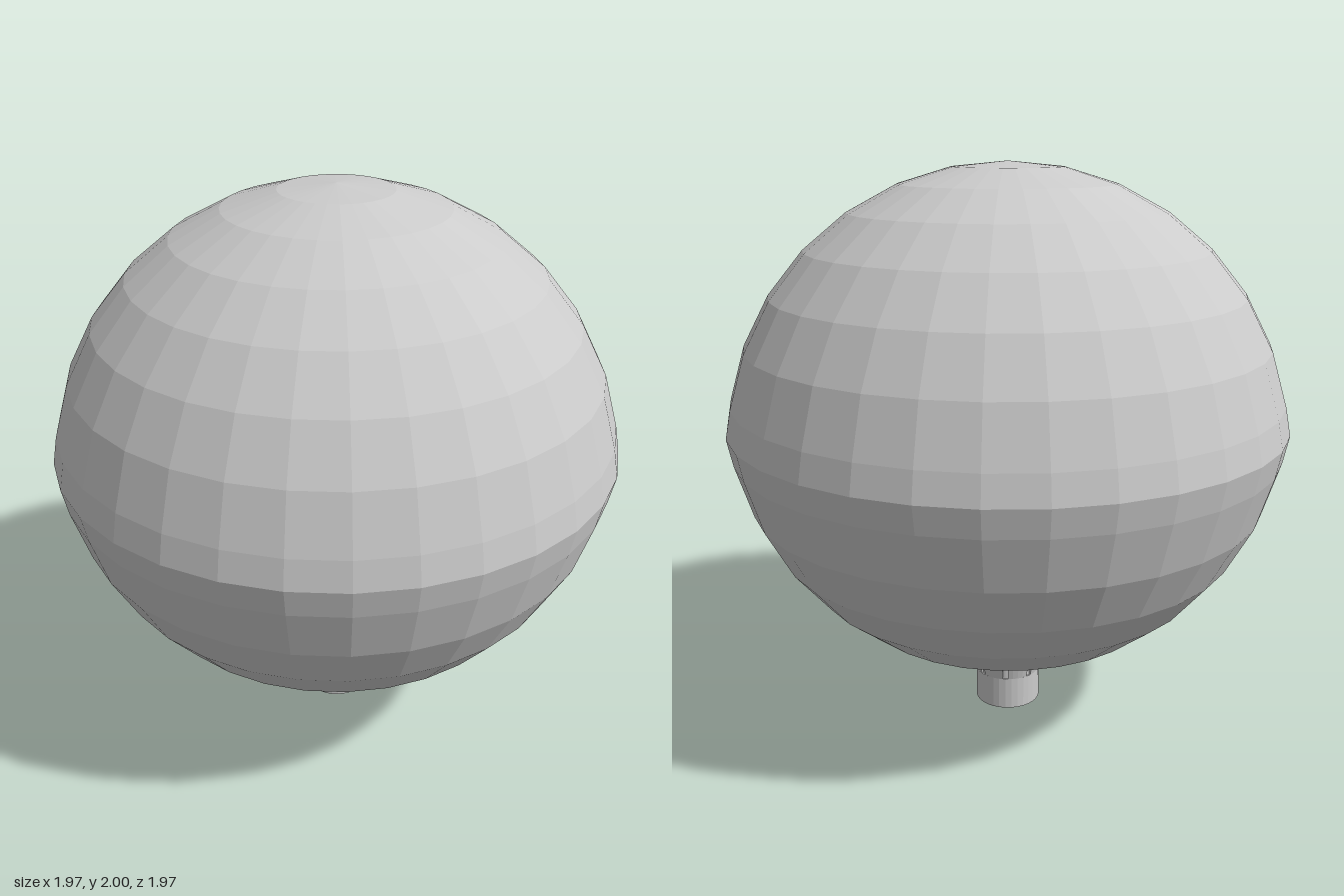
import * as THREE from 'three';

const material = new THREE.MeshStandardMaterial({ color: 0xcccccc, flatShading: true });

function addMesh(parent, name, geometry) {
  const mesh = new THREE.Mesh(geometry, material);
  mesh.name = name;
  parent.add(mesh);
  return mesh;
}

// Globe profile: two round halves pushed together, meeting in a ridge at the middle
function globeProfile() {
  const R = 0.985, middle = 1.111, squash = 0.096, rings = 16;
  const points = [];
  for (let i = 0; i <= rings; i++) {
    const a = (i / rings) * Math.PI;
    const h = -R * Math.cos(a);
    const y = i === rings / 2 ? middle : middle + h - Math.sign(h) * squash;
    const r = i === 0 || i === rings ? 0 : R * Math.sin(a);
    points.push(new THREE.Vector2(r, y));
  }
  return points;
}

// One flared prong: a box bent around the stem, leaning out towards its top
function prongGeometry() {
  const geometry = new THREE.BoxGeometry(1, 1, 1, 4, 1, 1);
  const p = geometry.attributes.position;
  const spread = THREE.MathUtils.degToRad(36);
  for (let i = 0; i < p.count; i++) {
    const angle = p.getX(i) * spread;
    const t = p.getY(i) + 0.5;
    const r = p.getZ(i) > 0 ? 0.12 + 0.025 * t : 0.1;
    p.setXYZ(i, r * Math.sin(angle), 0.12 + 0.12 * t, r * Math.cos(angle));
  }
  geometry.computeVertexNormals();
  return geometry;
}

export function createModel() {
  const model = new THREE.Group();
  model.name = 'globeOnStem';

  addMesh(model, 'globe', new THREE.LatheGeometry(globeProfile(), 32));

  // Stem: wide foot with a slightly thinner core rising into the globe
  const foot = addMesh(model, 'stemFoot', new THREE.CylinderGeometry(0.12, 0.12, 0.12, 32));
  foot.position.y = 0.06;
  const core = addMesh(model, 'stemCore', new THREE.CylinderGeometry(0.115, 0.115, 0.13, 32));
  core.position.y = 0.175;

  // Ring of prongs gripping the globe
  const prongs = new THREE.Group();
  prongs.name = 'prongs';
  model.add(prongs);
  const geometry = prongGeometry();
  for (let i = 0; i < 8; i++) {
    addMesh(prongs, 'prong', geometry).rotation.y = (i * Math.PI) / 4;
  }
  return model;
}
